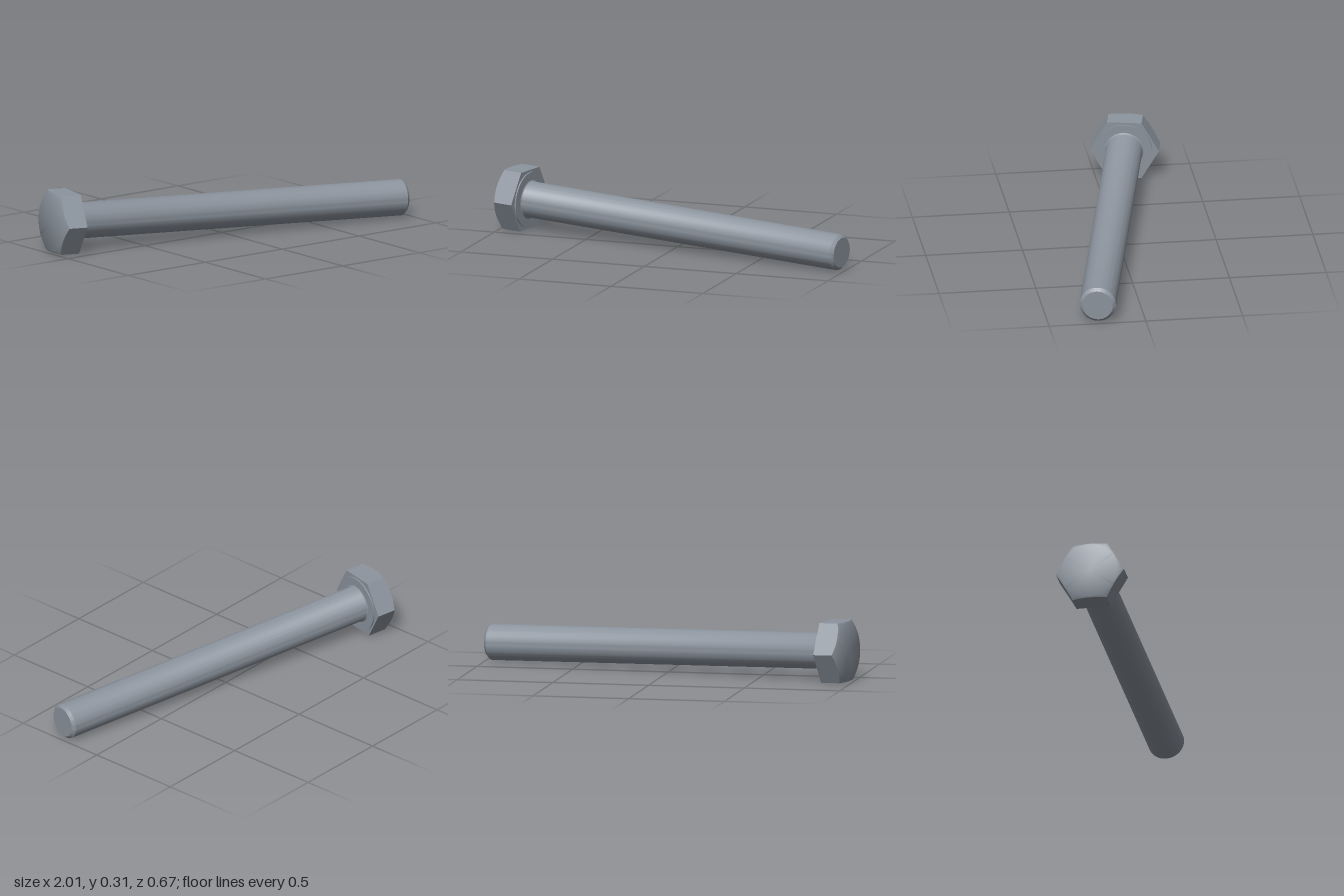
import * as THREE from 'three';
import { toCreasedNormals } from 'three/addons/utils/BufferGeometryUtils.js';

const APOTHEM = 0.154, CHAMFER_R = 0.147, HEAD = 0.12;

// Lathe a [radius, height] profile, optionally reshape it, and lay it along +x
function turned(profile, segments, reshape) {
  const g = new THREE.LatheGeometry(profile.map(([r, y]) => new THREE.Vector2(r, y)), segments);
  if (reshape) reshape(g.attributes.position);
  g.rotateZ(-Math.PI / 2);
  return toCreasedNormals(g, 0.6);
}

// Pull the outer rings out to a hexagon; the back rim follows a 30 degree chamfer cone
function toHexagon(pos) {
  const side = Math.PI / 3;
  for (let i = 0; i < pos.count; i++) {
    const x = pos.getX(i), z = pos.getZ(i), r = Math.hypot(x, z);
    if (r < CHAMFER_R + 0.001) continue;
    const a = Math.atan2(x, z) + Math.PI * 2;
    const k = Math.round((a - side / 2) / side);
    const hex = APOTHEM / Math.cos(a - side / 2 - k * side);
    const y = pos.getY(i) < -0.01 ? -HEAD + (hex - CHAMFER_R) * Math.tan(Math.PI / 6) : 0;
    pos.setXYZ(i, x / r * hex, y, z / r * hex);
  }
}

export function createModel() {
  const steel = new THREE.MeshStandardMaterial({ color: 0x8c949e });
  steel.name = 'steel grey';

  // Hexagonal head with chamfered back
  const head = new THREE.Mesh(turned(
    [[0, -HEAD], [CHAMFER_R, -HEAD], [0.17, -0.1], [0.17, 0], [0, 0]], 72, toHexagon), steel);
  head.name = 'hexHead';

  // Thin washer face under the head
  const washer = new THREE.Mesh(turned(
    [[0.1435, -0.002], [0.1435, 0.007], [0.09, 0.007]], 64), steel);
  washer.name = 'washerFace';

  // Shank with a small fillet at the head and a chamfered tip
  const shankProfile = [];
  for (let i = 0; i <= 4; i++) {
    const a = i / 4 * Math.PI / 2;
    shankProfile.push([0.101 - 0.008 * Math.sin(a), 0.015 - 0.008 * Math.cos(a)]);
  }
  shankProfile.push([0.093, 1.87], [0.078, 1.885], [0, 1.885]);
  const shank = new THREE.Mesh(turned(shankProfile, 64), steel);
  shank.name = 'shank';

  // Lay the bolt down so head and tip both rest on the ground
  const bolt = new THREE.Group();
  bolt.name = 'bolt';
  bolt.add(head, washer, shank);
  const axis = new THREE.Vector3(1, -0.0325, 0.2125).normalize();
  const across = new THREE.Vector3().crossVectors(axis, new THREE.Vector3(0, 1, 0)).normalize();
  const up = new THREE.Vector3().crossVectors(across, axis);
  bolt.quaternion.setFromRotationMatrix(new THREE.Matrix4().makeBasis(axis, up, across));
  bolt.position.set(-0.86, 0.154, -0.144);

  const model = new THREE.Group();
  model.name = 'hexBolt';
  model.add(bolt);
  return model;
}
